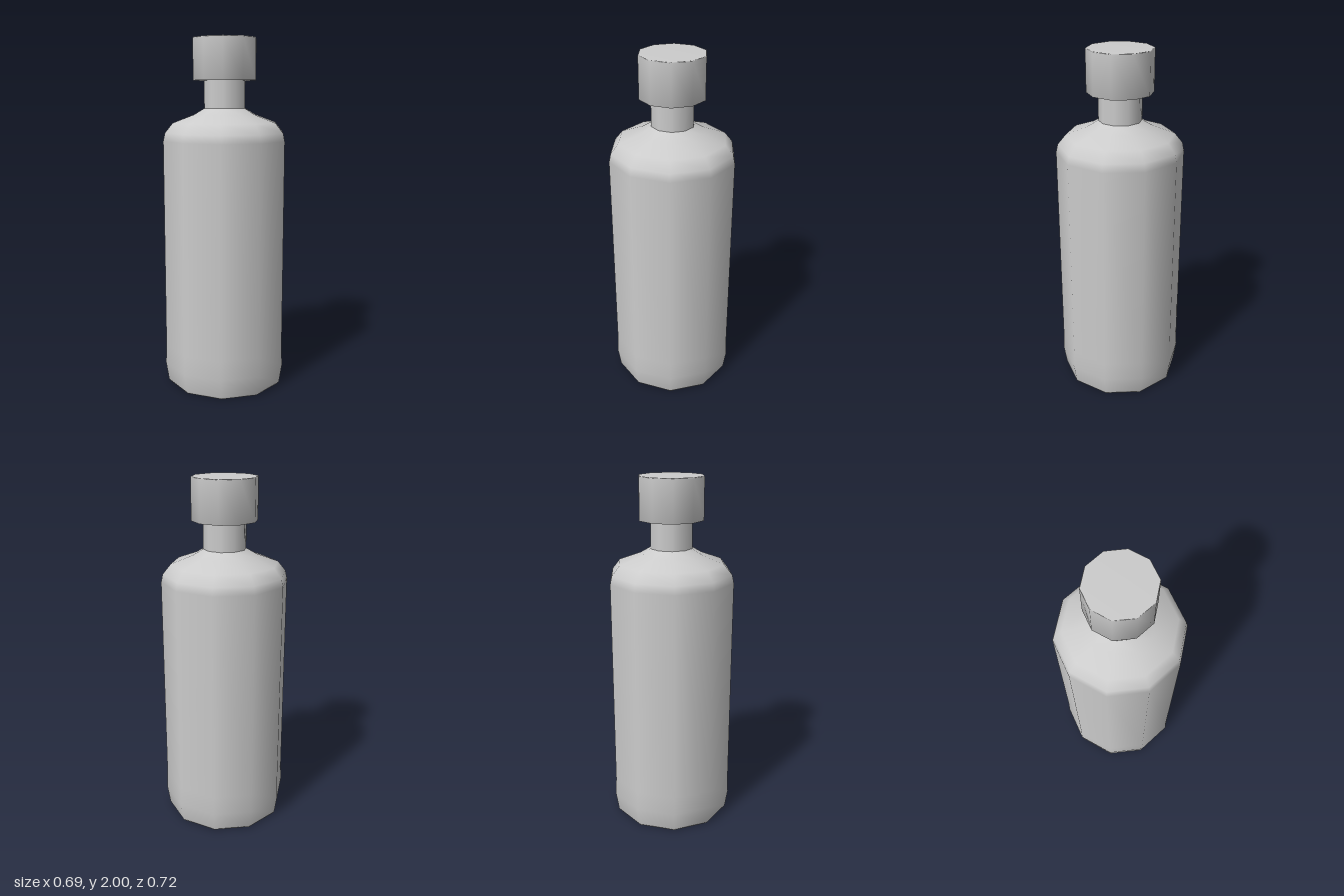
import * as THREE from 'three';

const SIDES = 10;

// Smooth ten-sided lathe with a corner facing +z; profile runs bottom to top as [radius, y]
function turned(name, profile) {
  const points = profile.map(([r, y]) => new THREE.Vector2(r, y));
  const material = new THREE.MeshStandardMaterial({ color: 0xcccccc });
  const mesh = new THREE.Mesh(new THREE.LatheGeometry(points, SIDES), material);
  mesh.name = name;
  return mesh;
}

export function createModel() {
  const group = new THREE.Group();
  group.name = 'bottle';

  // Closed base, slightly swollen foot, straight wall and rounded shoulder
  group.add(turned('body', [
    [0, 0], [0.335, 0], [0.344, 0.012], [0.361, 0.12], [0.357, 0.23],
    [0.357, 1.43], [0.347, 1.475], [0.302, 1.53], [0.18, 1.575], [0.12, 1.61],
  ]));

  // Straight neck running up into the cap
  group.add(turned('neck', [[0.12, 1.61], [0.12, 1.77]]));

  // Wide closed cap
  group.add(turned('cap', [
    [0, 1.765], [0.12, 1.765], [0.184, 1.765], [0.184, 1.995], [0.181, 2], [0, 2],
  ]));

  return group;
}
